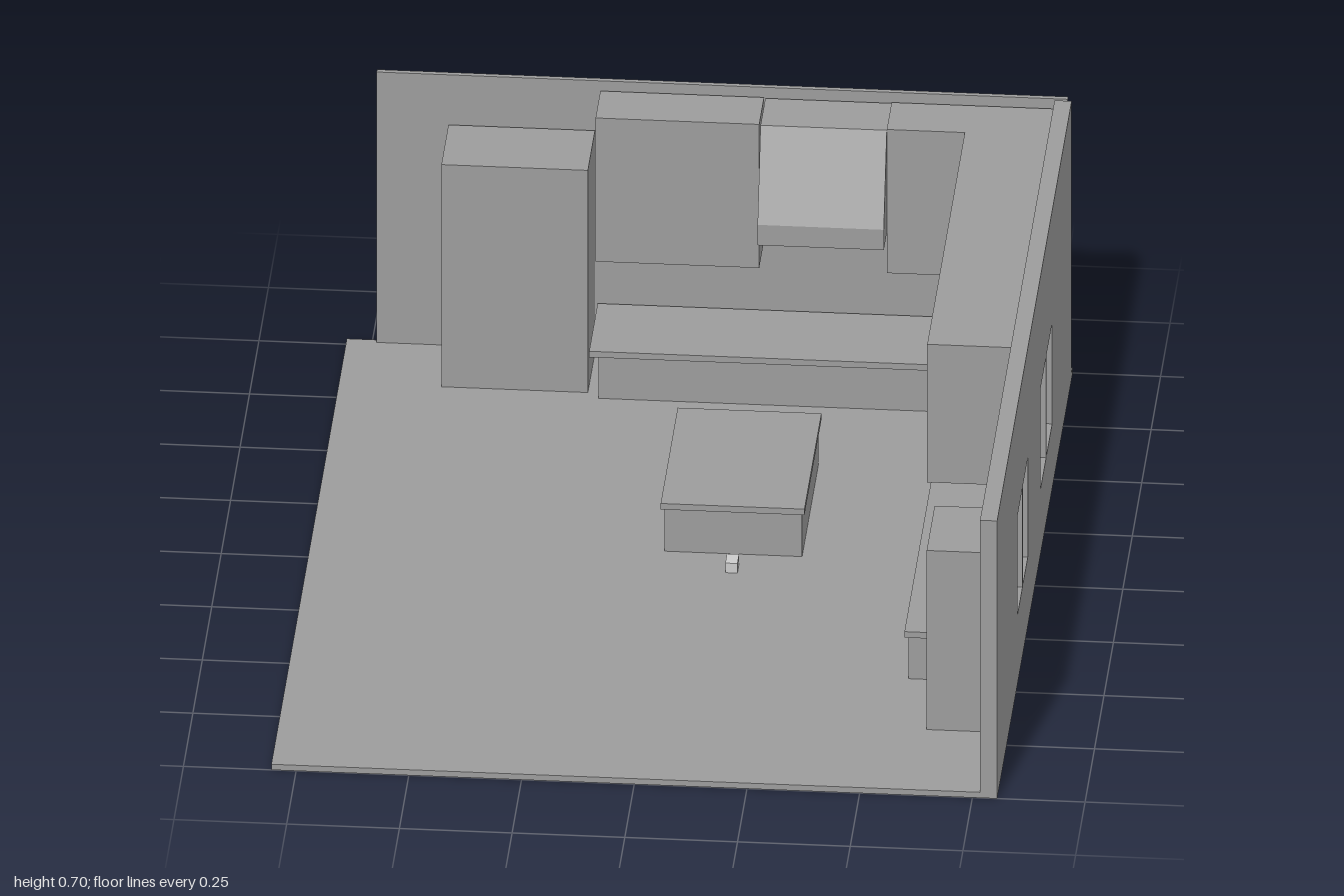
import * as THREE from 'three';

const grey = new THREE.MeshStandardMaterial({ color: 0x9c9c9c, flatShading: true });
const paleGrey = new THREE.MeshStandardMaterial({ color: 0xcccccc, flatShading: true });

export function createModel() {
  const room = new THREE.Group();
  room.name = 'kitchen';

  const add = (name, geometry, material = grey) => {
    const mesh = new THREE.Mesh(geometry, material);
    mesh.name = name;
    room.add(mesh);
    return mesh;
  };

  // Box from its limits on each axis
  const box = (name, [x0, x1], [y0, y1], [z0, z1], material) => {
    const mesh = add(name, new THREE.BoxGeometry(x1 - x0, y1 - y0, z1 - z0), material);
    mesh.position.set((x0 + x1) / 2, (y0 + y1) / 2, (z0 + z1) / 2);
  };

  // Side profile drawn in (z, y), extruded from x1 back to x0
  const extrudeAcross = (name, shape, [x0, x1]) => {
    const geometry = new THREE.ExtrudeGeometry(shape, { depth: x1 - x0, bevelEnabled: false });
    geometry.rotateY(-Math.PI / 2);
    add(name, geometry).position.x = x1;
  };

  const outline = (points) => points.map(([z, y]) => new THREE.Vector2(z, y));
  const rectangle = (z0, z1, y0, y1) => outline([[z0, y0], [z1, y0], [z1, y1], [z0, y1]]);

  // Floor and back wall
  box('floor', [-0.805, 0.805], [0, 0.014], [-1, 1]);
  box('backWall', [-0.738, 0.795], [0.014, 0.692], [-1, -0.988]);

  // Side wall with two windows, each split by a narrow post
  const wall = new THREE.Shape(rectangle(-0.973, 1, 0.014, 0.696));
  const panes = [
    [0.187, 0.318, 0.172, 0.421], [0.328, 0.463, 0.172, 0.421],
    [-0.457, -0.309, 0.162, 0.415], [-0.299, -0.152, 0.162, 0.415],
  ];
  for (const pane of panes) wall.holes.push(new THREE.Path(rectangle(...pane)));
  extrudeAcross('sideWall', wall, [0.767, 0.805]);

  // Refrigerator and the tall cupboard at the end of the counter
  box('refrigerator', [-0.578, -0.253], [0.014, 0.571], [-0.98, -0.793]);
  box('tallCupboard', [0.625, 0.757], [0.014, 0.463], [0.507, 0.717]);

  // Base cabinets with overhanging worktops
  box('backBaseCabinet', [-0.227, 0.765], [0.014, 0.123], [-0.98, -0.768]);
  box('backWorktop', [-0.247, 0.765], [0.123, 0.138], [-0.98, -0.755]);
  box('sideBaseCabinet', [0.565, 0.765], [0.014, 0.123], [-0.768, 0.483]);
  box('sideWorktop', [0.557, 0.765], [0.123, 0.138], [-0.748, 0.495]);

  // Island
  box('islandBase', [-0.022, 0.283], [0.014, 0.123], [-0.5, -0.067]);
  box('islandWorktop', [-0.03, 0.289], [0.123, 0.138], [-0.508, -0.058]);

  // Small block standing on the floor by the island
  box('floorBlock', [0.12, 0.147], [0.014, 0.038], [-0.022, 0.022], paleGrey);

  // Slim tap on the worktop in front of the window post
  const tapPath = new THREE.CatmullRomCurve3([
    [0.761, 0.135], [0.761, 0.175], [0.745, 0.198], [0.72, 0.195], [0.71, 0.175],
  ].map(([x, y]) => new THREE.Vector3(x, y, -0.304)));
  add('tap', new THREE.TubeGeometry(tapPath, 16, 0.004, 8));

  // Wall cabinets
  box('leftWallCabinet', [-0.241, 0.122], [0.311, 0.671], [-0.98, -0.853]);
  box('cornerWallCabinet', [0.405, 0.765], [0.311, 0.671], [-0.98, -0.853]);

  // Long wall cabinet, notched underneath to clear the window
  const longCabinet = new THREE.Shape(outline([
    [-0.853, 0.325], [-0.5, 0.325], [-0.5, 0.45], [-0.105, 0.45],
    [-0.105, 0.325], [0.142, 0.325], [0.142, 0.671], [-0.853, 0.671],
  ]));
  extrudeAcross('sideWallCabinet', longCabinet, [0.578, 0.765]);

  // Cooker hood with a sloping front
  const hood = new THREE.Shape(outline([
    [-0.98, 0.411], [-0.773, 0.411], [-0.773, 0.462], [-0.853, 0.669], [-0.98, 0.669],
  ]));
  extrudeAcross('cookerHood', hood, [0.125, 0.405]);

  return room;
}
